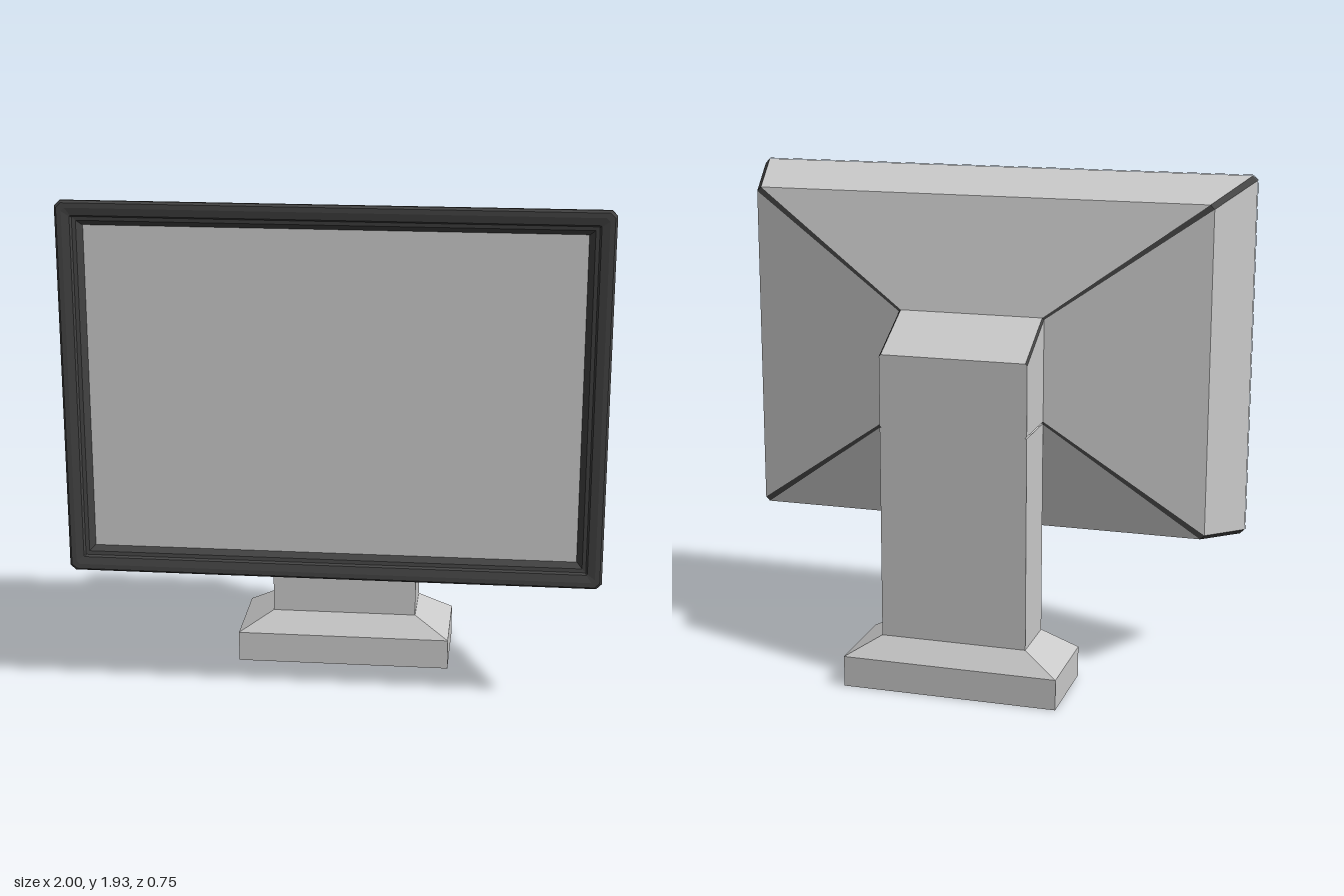
import * as THREE from 'three';

const light = new THREE.MeshStandardMaterial({ color: 0xcacaca });
light.name = 'light grey plastic';
const dark = new THREE.MeshStandardMaterial({ color: 0x434343 });
dark.name = 'dark grey trim';

// Rectangle with cut corners, counter-clockwise seen from +z; even edges are the flat sides
function outline({ w, y0, y1, z, c = 0 }) {
  return [
    [w, y0 + c], [w, y1 - c], [w - c, y1], [-w + c, y1],
    [-w, y1 - c], [-w, y0 + c], [-w + c, y0], [w - c, y0],
  ].map(([x, y]) => new THREE.Vector3(x, y, z));
}

// Flat-shaded skin through the rings; flat sides and cut corners become separate meshes
function loft(name, rings, { side = light, corner = side, capStart = false, capEnd = false } = {}) {
  const loops = rings.map(outline);
  const sideTris = [], cornerTris = [];
  const tri = (list, a, b, c) => {
    const area = b.clone().sub(a).cross(c.clone().sub(a)).length();
    if (area > 1e-9) list.push(a, b, c);
  };
  for (let r = 0; r + 1 < loops.length; r++) {
    for (let i = 0; i < 8; i++) {
      const j = (i + 1) % 8, p = loops[r], q = loops[r + 1];
      const list = i % 2 ? cornerTris : sideTris;
      tri(list, p[i], p[j], q[j]);
      tri(list, p[i], q[j], q[i]);
    }
  }
  const first = loops[0], last = loops[loops.length - 1];
  for (let i = 1; i < 7; i++) {
    if (capStart) tri(sideTris, first[0], first[i + 1], first[i]);
    if (capEnd) tri(sideTris, last[0], last[i], last[i + 1]);
  }
  const group = new THREE.Group();
  group.name = name;
  for (const [list, material, label] of [[sideTris, side, 'Sides'], [cornerTris, corner, 'Corners']]) {
    if (!list.length) continue;
    const geometry = new THREE.BufferGeometry().setFromPoints(list);
    geometry.computeVertexNormals();
    const mesh = new THREE.Mesh(geometry, material);
    mesh.name = name + label;
    group.add(mesh);
  }
  return group;
}

export function createModel() {
  const model = new THREE.Group();
  model.name = 'monitor';

  // Rear housing, from the neck bracket to the bezel, with dark cut corners
  model.add(loft('housing', [
    { w: 0.285, y0: 1.025, y1: 1.305, z: -0.31, c: 0.007 },
    { w: 0.285, y0: 1.025, y1: 1.43, z: -0.075, c: 0.007 },
    { w: 0.895, y0: 0.592, y1: 1.863, z: 0.02, c: 0.016 },
    { w: 0.998, y0: 0.522, y1: 1.933, z: 0.355, c: 0.018 },
  ], { corner: dark, capStart: true }));

  // Moulded bezel stepping in towards the screen: inset from the outer edge, depth
  const profile = [
    [0, 0.355], [0, 0.366], [0.008, 0.374], [0.026, 0.374],
    [0.054, 0.368], [0.06, 0.358], [0.074, 0.356], [0.095, 0.335],
  ];
  model.add(loft('bezel', profile.map(([d, z]) => ({
    w: 1 - d, y0: 0.52 + d, y1: 1.935 - d, z, c: Math.max(0, 0.02 - d * 0.3),
  })), { side: dark }));

  // Recessed screen
  const screen = new THREE.Mesh(new THREE.PlaneGeometry(1.81, 1.235), light);
  screen.name = 'screen';
  screen.position.set(0, 1.2275, 0.337);
  model.add(screen);

  // Foot, sloped shoulder and column, drawn along z and then stood upright
  const stand = loft('stand', [
    { w: 0.42, y0: 0.015, y1: 0.375, z: 0 },
    { w: 0.42, y0: 0.015, y1: 0.375, z: 0.12 },
    { w: 0.285, y0: 0.075, y1: 0.31, z: 0.2 },
    { w: 0.285, y0: 0.075, y1: 0.31, z: 1.025 },
  ], { capStart: true, capEnd: true });
  stand.rotation.x = -Math.PI / 2;
  model.add(stand);

  return model;
}
